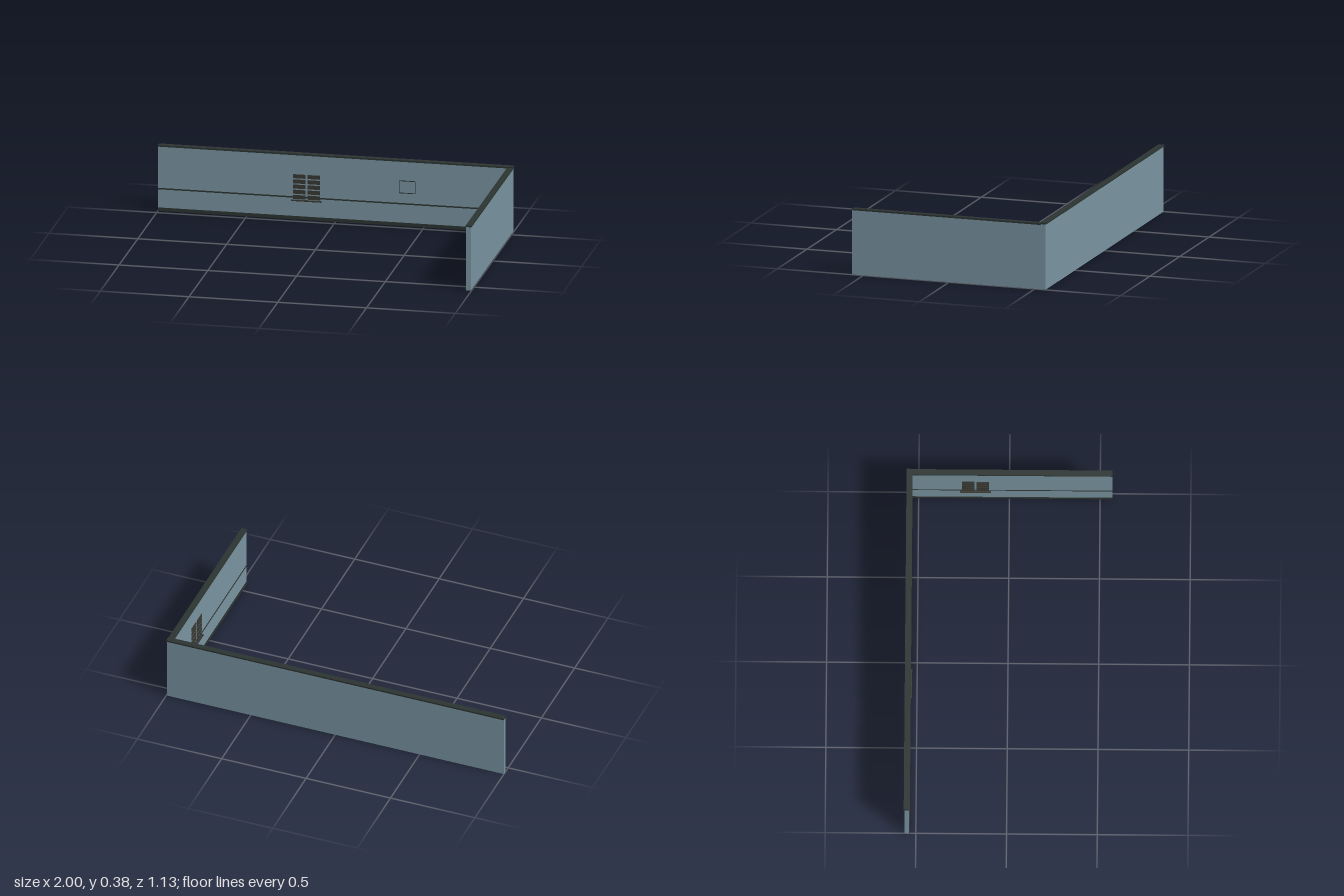
import * as THREE from 'three';

export function createModel() {
  const model = new THREE.Group();
  model.name = 'cornerWalls';

  const mat = (name, color) => {
    const m = new THREE.MeshStandardMaterial({ color });
    m.name = name;
    return m;
  };
  const wallPaint = mat('blue grey wall', 0x7a95a2);
  const trim = mat('dark trim', 0x2c3431);
  const pane = mat('dark window panes', 0x383833);

  // Box given by its minimum and maximum corners
  const box = (parent, name, material, [x0, y0, z0], [x1, y1, z1]) => {
    const mesh = new THREE.Mesh(new THREE.BoxGeometry(x1 - x0, y1 - y0, z1 - z0), material);
    mesh.position.set((x0 + x1) / 2, (y0 + y1) / 2, (z0 + z1) / 2);
    mesh.name = name;
    parent.add(mesh);
  };

  // Wall in local space: x runs along it, z = 0 is the room side
  const wall = (name, start, end, capStart, capEnd, capY, trimStart, trimEnd) => {
    const g = new THREE.Group();
    g.name = name;
    box(g, 'wallPanel', wallPaint, [start, 0, -0.026], [end, capY, 0]);
    box(g, 'cap', trim, [capStart, capY, -0.03], [capEnd, capY + 0.009, 0.003]);
    box(g, 'baseboard', trim, [trimStart, 0, 0], [trimEnd, 0.019, 0.003]);
    box(g, 'wallRail', trim, [trimStart, 0.124, 0], [trimEnd, 0.132, 0.002]);
    model.add(g);
    return g;
  };

  // Two columns of panes above a projecting sill
  const addWindow = (parent, cx) => {
    const g = new THREE.Group();
    g.name = 'window';
    g.position.x = cx;
    for (const side of [-1, 1]) {
      for (let row = 0; row < 5; row++) {
        const y = 0.118 + row * 0.0298;
        const xs = [side * 0.005, side * 0.075].sort((a, b) => a - b);
        box(g, 'windowPane', pane, [xs[0], y, 0], [xs[1], y + 0.0225, 0.003]);
      }
    }
    box(g, 'windowSill', pane, [-0.085, 0.107, 0], [0.085, 0.114, 0.01]);
    parent.add(g);
  };

  // Long back wall
  const back = wall('backWall', -1, 0.997, -1, 1, 0.37, -1, 0.97);
  back.position.z = -0.537;
  addWindow(back, -0.163);

  // Thin square frame on the back wall
  const [l, r, b, t, w] = [0.357, 0.451, 0.188, 0.262, 0.004];
  box(back, 'frameBottom', trim, [l, b, 0], [r, b + w, 0.002]);
  box(back, 'frameTop', trim, [l, t - w, 0], [r, t, 0.002]);
  box(back, 'frameLeft', trim, [l, b + w, 0], [l + w, t - w, 0.002]);
  box(back, 'frameRight', trim, [r - w, b + w, 0], [r, t - w, 0.002]);

  // Shorter side wall, turned to face the room
  const side = wall('sideWall', -0.537, 0.567, -0.534, 0.567, 0.365, -0.534, 0.567);
  side.rotation.y = -Math.PI / 2;
  side.position.x = 0.97;
  addWindow(side, -0.187);

  return model;
}
